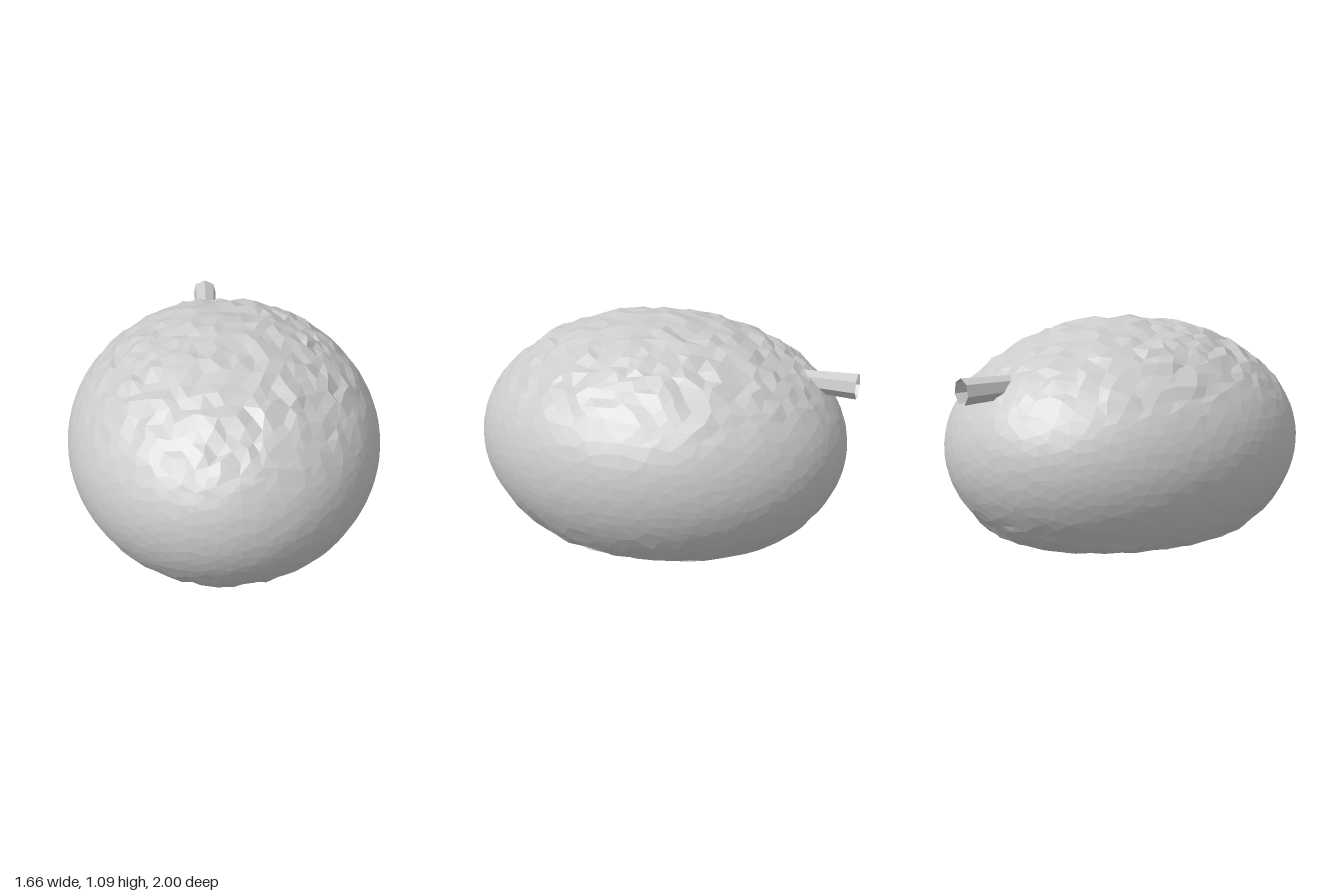
import * as THREE from 'three';
import { mergeVertices } from 'three/addons/utils/BufferGeometryUtils.js';

// Small seeded random generator, returns -1..1
function seeded(seed) {
  return () => {
    seed = (seed * 16807) % 2147483647;
    return (seed / 2147483647) * 2 - 1;
  };
}

// Ellipsoid cut flat at the bottom, rough on top and underneath, smooth at the middle
function bodyGeometry() {
  const rnd = seeded(4711);
  const rx = 0.83, ry = 0.65, rz = 0.985, cy = 0.44, cz = 0.015, floor = 0.006;
  const cut = (floor - cy) / ry;
  let geo = new THREE.IcosahedronGeometry(1, 13);
  geo.deleteAttribute('normal');
  geo.deleteAttribute('uv');
  geo = mergeVertices(geo, 1e-4);
  const pos = geo.attributes.position;
  const v = new THREE.Vector3();
  for (let i = 0; i < pos.count; i++) {
    v.fromBufferAttribute(pos, i);
    // loosen the regular triangle pattern along the surface
    v.x += rnd() * 0.022;
    v.y += rnd() * 0.022;
    v.z += rnd() * 0.022;
    v.normalize();
    // gather vertices near the cut onto a crisp rim
    if (Math.abs(v.y - cut) < 0.04) {
      const s = Math.sqrt((1 - cut * cut) / (1 - v.y * v.y));
      v.set(v.x * s, cut, v.z * s);
    }
    const under = v.y <= cut + 1e-6;
    const rough = 0.016 * THREE.MathUtils.smoothstep(Math.abs(v.y), 0.2, 0.75);
    const bump = rnd() * rough;
    const y = under ? floor + bump * 0.35 : Math.max(floor, cy + ry * v.y + bump - rough * 0.3);
    pos.setXYZ(i, rx * v.x, y, cz + rz * v.z);
  }
  const flat = geo.toNonIndexed();
  flat.computeVertexNormals();
  return flat;
}

export function createModel() {
  const group = new THREE.Group();

  const body = new THREE.Mesh(
    bodyGeometry(),
    new THREE.MeshStandardMaterial({ color: 0xcccccc, flatShading: true })
  );
  body.name = 'body';
  group.add(body);

  // Hollow stem pointing backwards, flaring slightly to its open end
  const stemGeo = new THREE.CylinderGeometry(0.067, 0.055, 0.3, 7, 1, true);
  stemGeo.rotateX(-Math.PI / 2);
  const stem = new THREE.Mesh(
    stemGeo,
    new THREE.MeshStandardMaterial({ color: 0xcccccc, flatShading: true, side: THREE.DoubleSide })
  );
  stem.name = 'stem';
  stem.position.set(-0.075, 0.806, -0.85);
  group.add(stem);

  return group;
}
